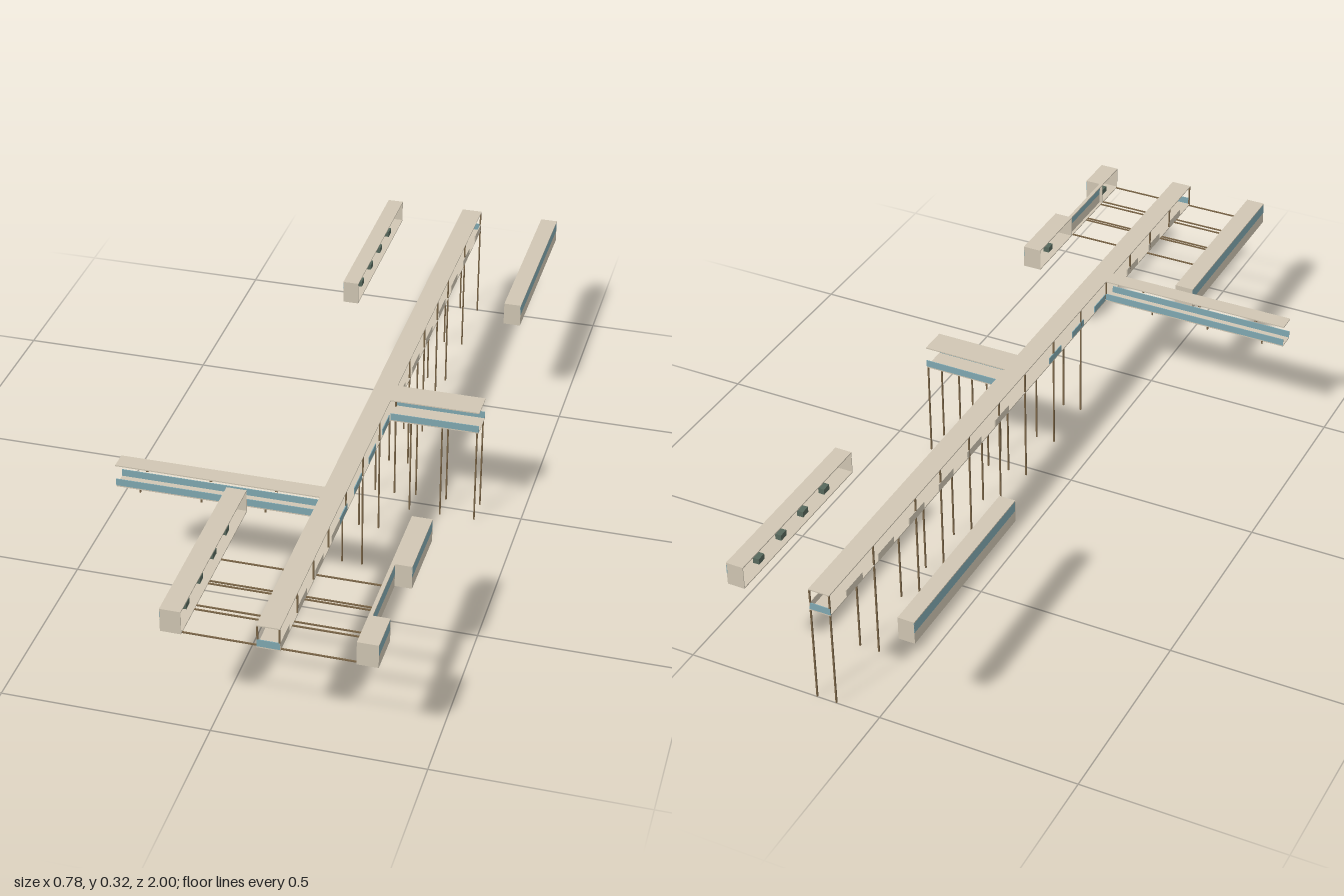
import * as THREE from 'three';

export function createModel() {
  const model = new THREE.Group();
  const mat = (name, color) => {
    const m = new THREE.MeshStandardMaterial({ color });
    m.name = name;
    return m;
  };
  const beige = mat('beige concrete', 0xd0c6b3);
  const teal = mat('teal glass', 0x80a8b1);
  const brown = mat('brown steel', 0x7a6547);
  const green = mat('dark green furniture', 0x56685c);

  // Box given by its min and max corners
  const box = (parent, name, m, x0, x1, y0, y1, z0, z1) => {
    const mesh = new THREE.Mesh(new THREE.BoxGeometry(x1 - x0, y1 - y0, z1 - z0), m);
    mesh.position.set((x0 + x1) / 2, (y0 + y1) / 2, (z0 + z1) / 2);
    mesh.name = name;
    parent.add(mesh);
  };
  const group = (name) => {
    const g = new THREE.Group();
    g.name = name;
    model.add(g);
    return g;
  };
  const R = 0.0018; // half the thickness of a post
  const post = (parent, name, x, z, y0, y1) =>
    box(parent, name, brown, x - R, x + R, y0, y1, z - R, z + R);

  const FLOOR = 0.257, DECK = 0.26, RAIL = 0.278, CEIL = 0.314, TOP = 0.317;
  const T = 0.002; // panel thickness

  // Main covered walkway
  const main = group('mainWalkway');
  const X0 = 0.112, X1 = 0.166;
  box(main, 'mainDeck', beige, X0, X1, FLOOR, DECK, -1, 1);
  box(main, 'mainRoof', beige, X0, X1, CEIL, TOP, -1, 1);

  // Rail panels alternate between the two sides of the walkway
  const railRun = (name, m, z0, z1, count) => {
    const step = (z1 - z0) / count;
    for (let i = 0; i < count; i++) {
      const x = i % 2 ? X0 : X1 - T;
      box(main, name, m, x, x + T, DECK, RAIL, z0 + i * step, z0 + (i + 1) * step);
    }
  };
  railRun('backRail', beige, -1, -0.05, 13);
  railRun('middleRail', teal, 0.04, 0.51, 7);
  railRun('frontRail', beige, 0.51, 1, 7);
  for (const z of [-1, 1 - T]) box(main, 'endRail', teal, X0, X1, DECK, RAIL, z, z + T);

  // Tall legs carry the roof; the front posts stop at the deck
  for (const x of [X0 + R, X1 - R]) {
    for (const z of [-0.998, -0.8, -0.6, -0.477, -0.331, -0.172, -0.03, 0.133, 0.294])
      post(main, 'leg', x, z, 0, CEIL);
    for (const z of [0.45, 0.6, 0.73, 0.86, 0.998])
      post(main, 'roofPost', x, z, FLOOR, CEIL);
  }

  // Left branch, standing on legs
  const left = group('leftBranch');
  box(left, 'leftDeck', beige, X1, 0.39, FLOOR, DECK, -0.037, 0.034);
  box(left, 'leftRoof', beige, X1, 0.39, CEIL, TOP, -0.037, 0.034);
  for (const z of [-0.037, 0.032]) {
    box(left, 'leftRail', teal, X1, 0.39, DECK, RAIL, z, z + T);
    for (const x of [0.219, 0.298, 0.386]) post(left, 'branchLeg', x, z + T / 2, 0, FLOOR);
  }

  // Right branch with small beams below its roof and deck
  const right = group('rightBranch');
  box(right, 'rightDeck', beige, -0.391, X0, FLOOR, DECK, 0.445, 0.489);
  box(right, 'rightRoof', beige, -0.391, X0, CEIL, TOP, 0.445, 0.489);
  for (const z of [0.445, 0.487]) box(right, 'rightRail', teal, -0.391, X0, DECK, RAIL, z, z + T);
  for (const x of [-0.312, -0.154, 0.006, 0.138])
    box(right, 'roofBeam', brown, x - 0.0035, x + 0.0035, 0.31, CEIL, 0.447, 0.487);
  for (const x of [-0.332, -0.179, -0.021])
    for (const z of [0.448, 0.486]) post(right, 'deckStub', x, z, 0.248, FLOOR);

  // Long building: glazed outer wall, open inner side (outer = +1 faces +x)
  const building = (name, x0, x1, z0, z1, outer, desks) => {
    const g = group(name);
    box(g, 'buildingFloor', beige, x0, x1, FLOOR, DECK, z0, z1);
    box(g, 'buildingRoof', beige, x0, x1, CEIL, TOP, z0, z1);
    for (const z of [z0, z1 - T]) box(g, 'endWall', beige, x0, x1, DECK, CEIL, z, z + T);
    const xo = outer > 0 ? x1 - T : x0;
    box(g, 'outerWall', beige, xo, xo + T, DECK, 0.287, z0, z1);
    box(g, 'windowBand', teal, xo, xo + T, 0.287, CEIL, z0, z1);
    const mid = (x0 + x1) / 2, step = (z1 - z0) / (desks + 1);
    for (let i = 1; i <= desks; i++) {
      const z = z0 + i * step;
      box(g, 'desk', green, mid - 0.008, mid + 0.008, DECK, 0.275, z - 0.012, z + 0.012);
    }
  };
  building('rightBackBuilding', -0.102, -0.061, -1, -0.51, -1, 4);
  building('leftBackBuilding', 0.336, 0.38, -1, -0.51, 1, 4);
  building('rightFrontBuilding', -0.109, -0.06, 0.508, 1, -1, 4);
  building('leftFrontBuildingA', 0.337, 0.386, 0.508, 0.702, 1, 1);
  building('leftFrontBuildingB', 0.337, 0.386, 0.9, 1, 1, 1);
  building('recessedLink', 0.337, 0.346, 0.702, 0.9, 1, 0);

  // Floor-level beams joining the front buildings
  const beams = group('crossBeams');
  for (const z of [0.71, 0.796, 0.806, 0.891, 0.906, 0.993])
    for (const [x0, x1] of [[-0.06, X0], [X1, 0.337]])
      box(beams, 'crossBeam', brown, x0, x1, FLOOR, DECK, z - 0.0018, z + 0.0018);

  return model;
}
